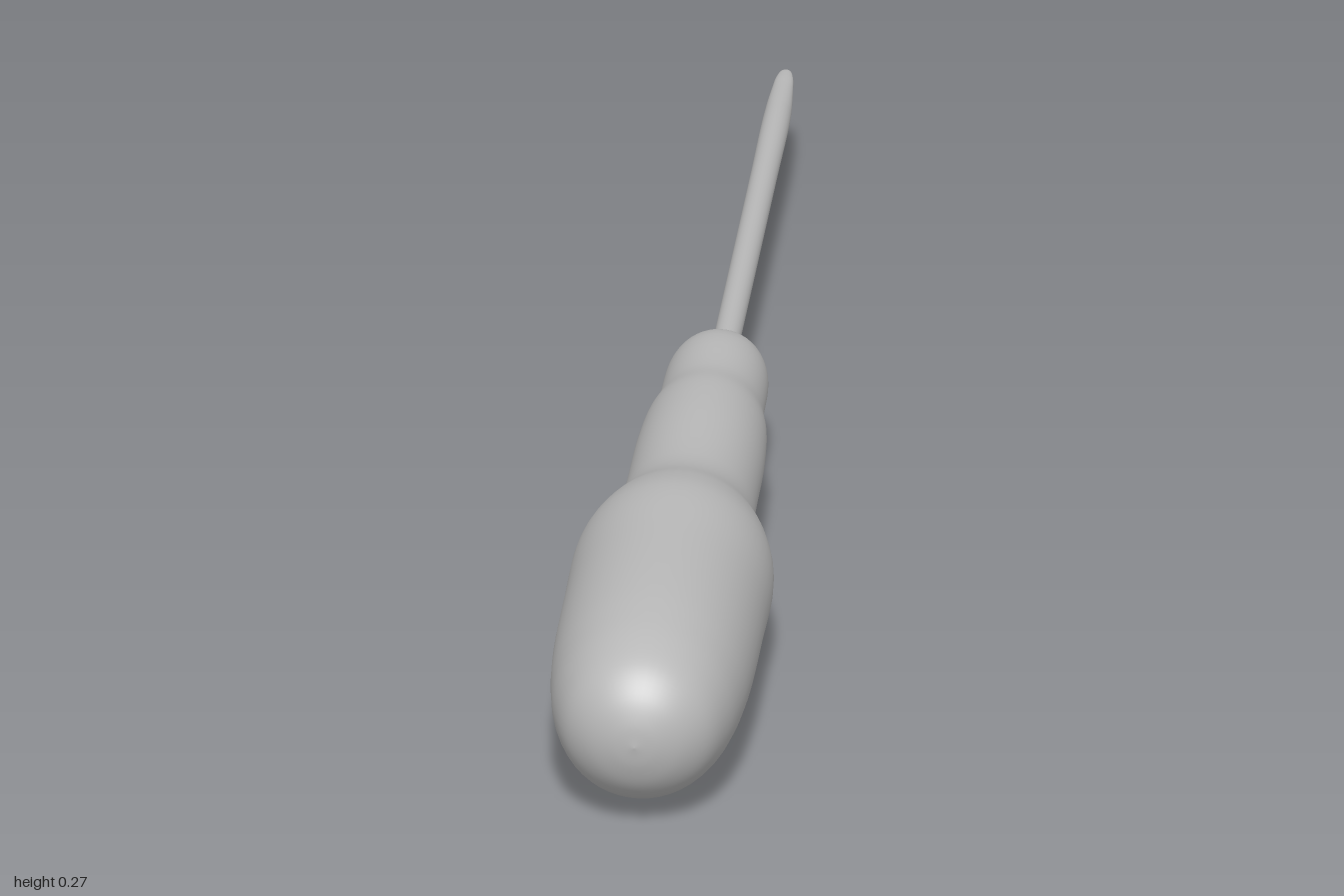
import * as THREE from 'three';

const AXIS_Y = 0.133;

// Surface of revolution along z from [z, radius] pairs, back to front
function turned(profile, samples, sides) {
  const curve = new THREE.CatmullRomCurve3(
    profile.map(([z, r]) => new THREE.Vector3(r, z, 0)), false, 'centripetal');
  const points = curve.getPoints(samples).map(p => new THREE.Vector2(Math.max(p.x, 0), p.y));
  return new THREE.LatheGeometry(points, sides).rotateX(Math.PI / 2);
}

export function createModel() {
  const group = new THREE.Group();
  const grey = new THREE.MeshStandardMaterial({ color: 0xb8b8b8 });
  grey.name = 'plain grey';

  const add = (name, geometry) => {
    const mesh = new THREE.Mesh(geometry, grey);
    mesh.name = name;
    mesh.position.y = AXIS_Y;
    group.add(mesh);
  };

  // Handle: collar, neck, swelling grip and domed end
  add('handle', turned([
    [-0.23, 0.016], [-0.19, 0.02], [-0.165, 0.034], [-0.135, 0.056], [-0.1, 0.066],
    [0, 0.07], [0.06, 0.08], [0.14, 0.085], [0.3, 0.088], [0.35, 0.096],
    [0.42, 0.119], [0.48, 0.131], [0.6, 0.132], [0.75, 0.131], [0.83, 0.126],
    [0.9, 0.115], [0.95, 0.096], [0.98, 0.066], [0.995, 0.032], [1, 0],
  ], 100, 48));

  // Shaft: straight rod with a rounded point
  const shaft = turned([
    [-1, 0], [-0.996, 0.006], [-0.98, 0.011], [-0.95, 0.014], [-0.89, 0.0175],
    [-0.7, 0.0175], [-0.4, 0.0175], [-0.18, 0.0175],
  ], 70, 24);
  // Tip: the underside is ground up into a thin blade
  const pos = shaft.attributes.position;
  for (let i = 0; i < pos.count; i++) {
    const t = THREE.MathUtils.clamp((-0.89 - pos.getZ(i)) / 0.11, 0, 1);
    const flat = 1 - 0.55 * t;
    pos.setY(i, pos.getY(i) * flat + 0.011 * t);
  }
  shaft.computeVertexNormals();
  add('shaft', shaft);

  return group;
}
